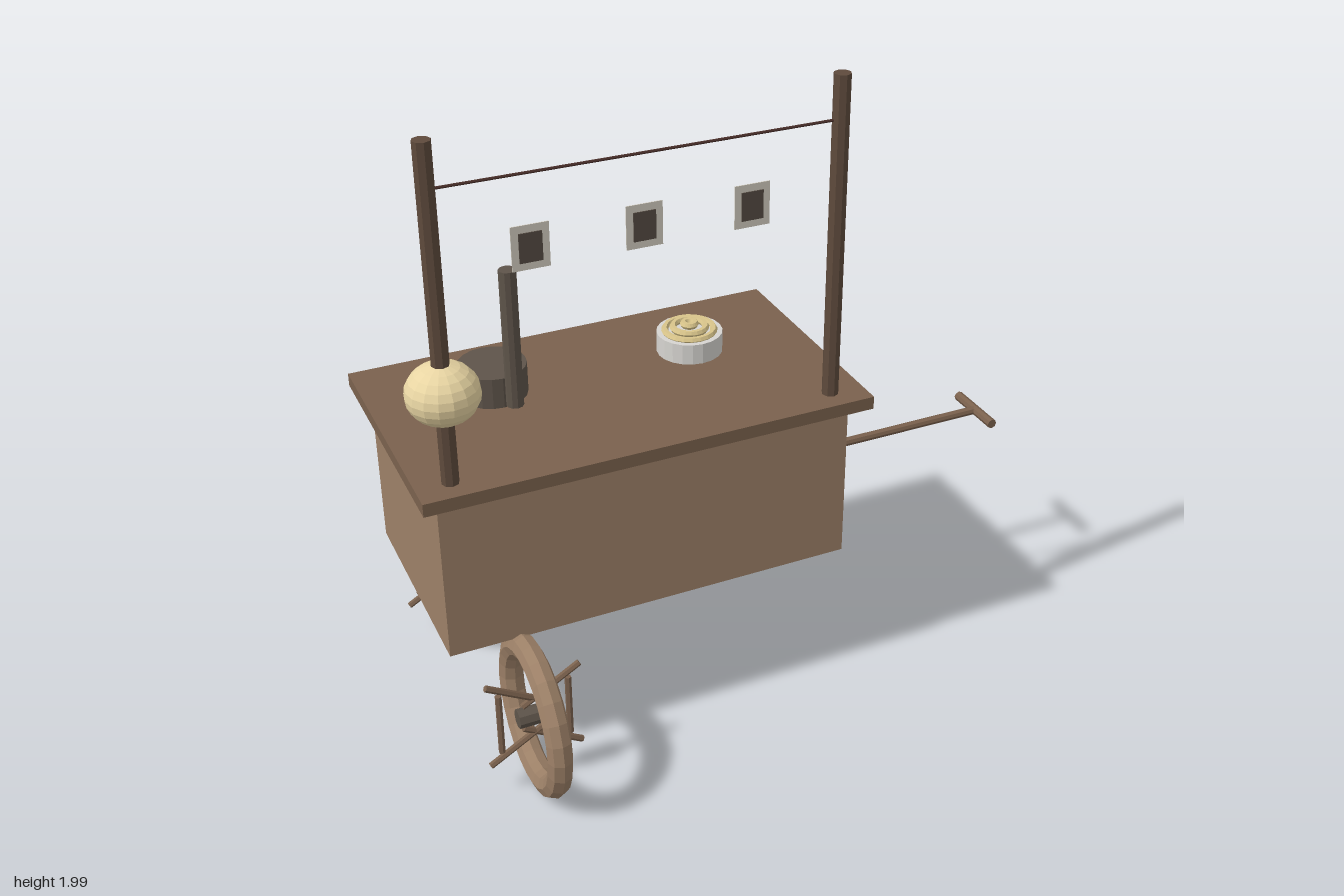
import * as THREE from 'three';

const mat = (color) => new THREE.MeshStandardMaterial({ color, flatShading: true });

export function createModel() {
  const cart = new THREE.Group();
  cart.name = 'foodCart';
  const wood = mat(0x9c8067), darkWood = mat(0x7a614d), post = mat(0x5e4a3c);
  const iron = mat(0x5e544a), china = mat(0xd6d4d0), noodle = mat(0xd8c48a);
  const paper = mat(0xe8d5a3), cord = mat(0x4a2f2a), frame = mat(0xd0cabd), ink = mat(0x544a42);

  const add = (parent, name, geometry, material, x, y, z) => {
    const mesh = new THREE.Mesh(geometry, material);
    mesh.name = name;
    mesh.position.set(x, y, z);
    parent.add(mesh);
    return mesh;
  };
  const rod = (r, length, sides = 8) => new THREE.CylinderGeometry(r, r, length, sides);
  const box = (w, h, d) => new THREE.BoxGeometry(w, h, d);

  // Body and counter
  add(cart, 'body', box(1.25, 0.515, 0.67), wood, -0.325, 0.7275, 0);
  add(cart, 'counter', box(1.355, 0.04, 0.775), darkWood, -0.3225, 1.005, 0);

  // Wheels: the spokes stand crosswise to the rim
  for (const side of [1, -1]) {
    const wheel = new THREE.Group();
    wheel.name = side > 0 ? 'frontWheel' : 'backWheel';
    wheel.position.set(-0.74, 0.252, side * 0.42);
    cart.add(wheel);
    add(wheel, 'rim', new THREE.TorusGeometry(0.209, 0.0375, 8, 24), wood, 0, 0, 0).rotation.y = Math.PI / 2;
    add(wheel, 'hub', rod(0.029, 0.105), iron, 0, 0, 0).rotation.z = Math.PI / 2;
    for (let i = 0; i < 6; i++) {
      const a = i * Math.PI / 3;
      add(wheel, 'spoke', rod(0.01, 0.205, 6), darkWood, 0.105 * Math.cos(a), 0.105 * Math.sin(a), 0).rotation.z = -a;
    }
  }

  // Pull handle
  add(cart, 'handleShaft', rod(0.014, 0.69), darkWood, 0.635, 0.62, 0).rotation.z = Math.PI / 2;
  add(cart, 'handleGrip', rod(0.016, 0.205), darkWood, 0.984, 0.62, 0).rotation.x = Math.PI / 2;

  // Posts, string and lantern
  const zPost = 0.312;
  for (const x of [-0.9, 0.25]) add(cart, 'post', rod(0.025, 0.975), post, x, 1.5125, zPost);
  add(cart, 'string', rod(0.004, 1.15, 6), cord, -0.325, 1.87, zPost).rotation.z = Math.PI / 2;
  add(cart, 'lantern', new THREE.SphereGeometry(0.102, 16, 12), paper, -0.9, 1.3, zPost).scale.y = 0.85;

  // Hanging cards
  for (const x of [-0.64, -0.325, -0.012]) {
    add(cart, 'card', box(0.104, 0.125, 0.003), frame, x, 1.667, zPost);
    add(cart, 'cardPicture', box(0.064, 0.083, 0.003), ink, x, 1.667, zPost + 0.003);
  }

  // Stove pot and chimney
  add(cart, 'pot', rod(0.102, 0.095, 20), iron, -0.64, 1.0725, -0.105);
  add(cart, 'chimney', rod(0.025, 0.42, 10), iron, -0.64, 1.3, 0.1);

  // Bowl with coiled noodles
  add(cart, 'bowl', rod(0.101, 0.065, 20), china, -0.012, 1.0575, -0.105);
  [[0.075, 1.093], [0.05, 1.102], [0.018, 1.112]].forEach(([r, y]) => {
    add(cart, 'noodleCoil', new THREE.TorusGeometry(r, 0.011, 6, 20), noodle, -0.012, y, -0.105).rotation.x = Math.PI / 2;
  });
  return cart;
}
